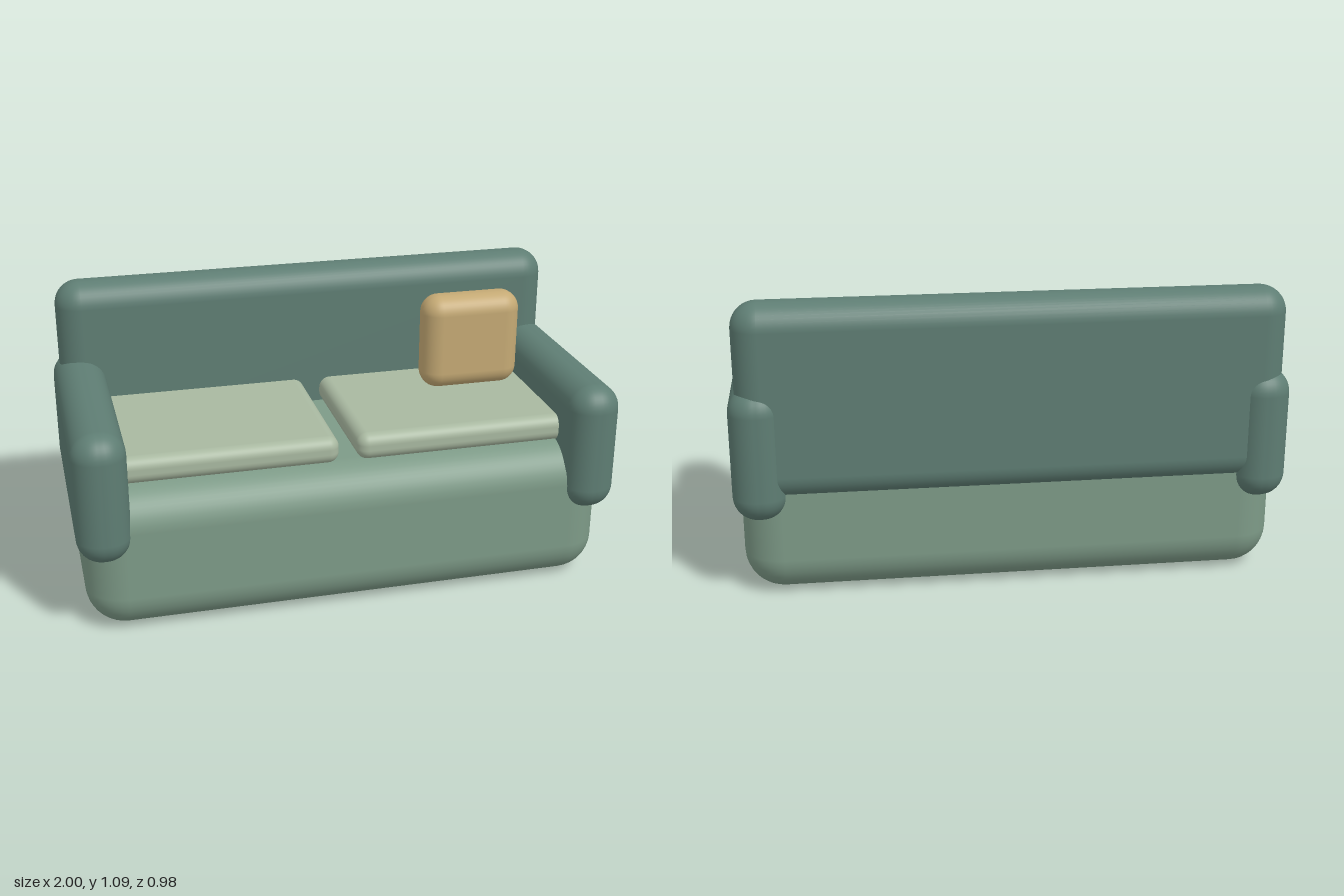
import * as THREE from 'three';
import { RoundedBoxGeometry } from 'three/addons/geometries/RoundedBoxGeometry.js';

const paint = (color) => new THREE.MeshStandardMaterial({ color });

// Rounded box given by its [min, max] extent along each axis
function softBox(name, [x0, x1], [y0, y1], [z0, z1], radius, material) {
  const geometry = new RoundedBoxGeometry(x1 - x0, y1 - y0, z1 - z0, 5, radius);
  const mesh = new THREE.Mesh(geometry, material);
  mesh.name = name;
  mesh.position.set((x0 + x1) / 2, (y0 + y1) / 2, (z0 + z1) / 2);
  return mesh;
}

export function createModel() {
  const sofa = new THREE.Group();
  sofa.name = 'sofa';

  const baseGreen = paint(0x7d9a87);
  const darkGreen = paint(0x5e7d73);
  const paleGreen = paint(0xa8b8a0);
  const tan = paint(0xc4a974);

  // Body and backrest
  sofa.add(softBox('base', [-0.975, 0.975], [0, 0.545], [-0.433, 0.433], 0.145, baseGreen));
  sofa.add(softBox('backrest', [-0.975, 0.975], [0.38, 1.087], [-0.467, -0.273], 0.092, darkGreen));

  // Mirrored armrests and seat cushions
  for (const [label, side] of [['left', 1], ['right', -1]]) {
    const span = (a, b) => (side > 0 ? [a, b] : [-b, -a]);
    sofa.add(softBox(`${label}Armrest`, span(0.807, 1), [0.303, 0.79], [-0.488, 0.488], 0.09, darkGreen));
    sofa.add(softBox(`${label}SeatCushion`, span(0.033, 0.88), [0.54, 0.642], [-0.335, 0.335], 0.042, paleGreen));
  }

  // Throw pillow on the left seat
  sofa.add(softBox('throwPillow', [0.4, 0.79], [0.632, 1.006], [-0.184, -0.034], 0.07, tan));

  return sofa;
}
